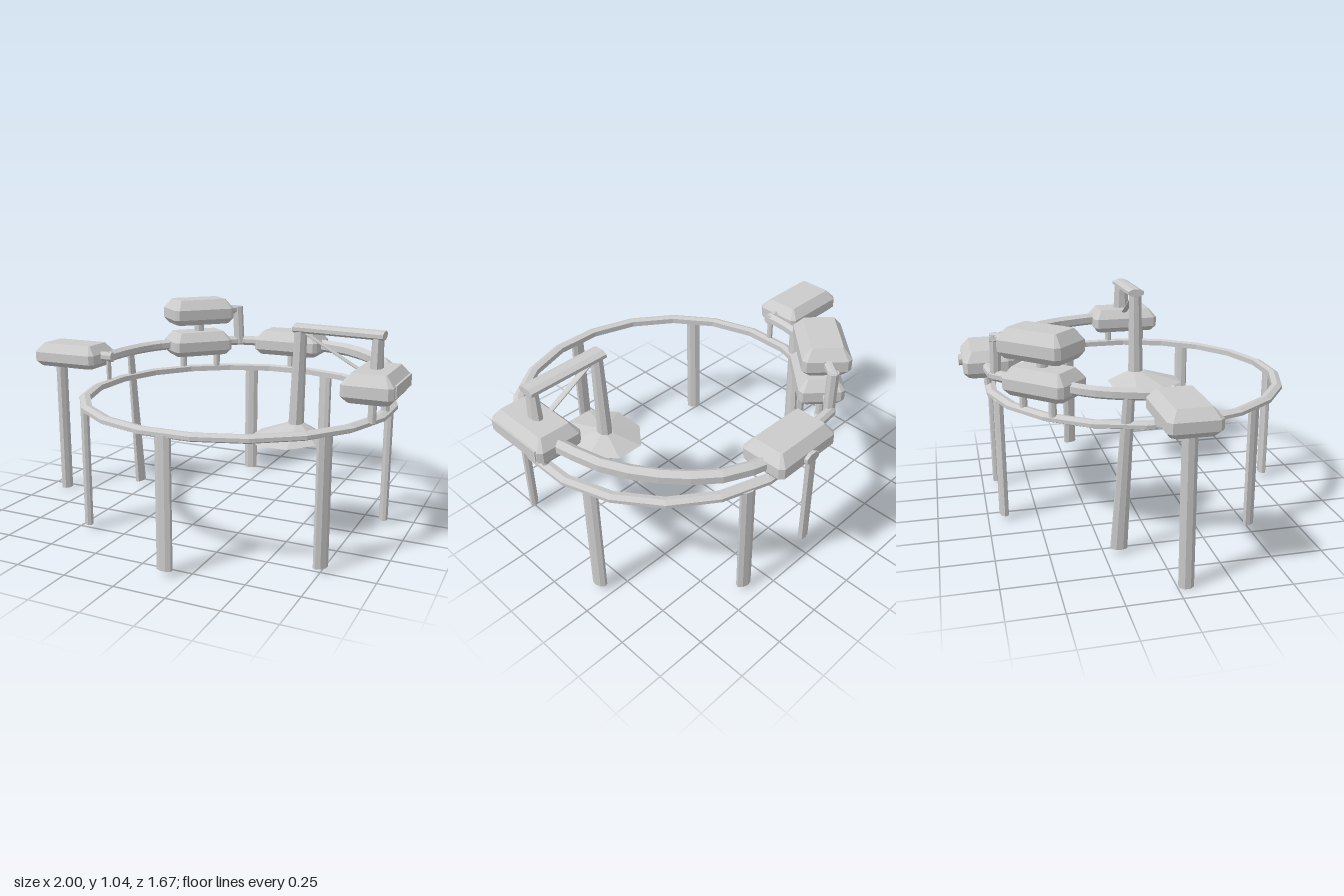
import * as THREE from 'three';

const mat = new THREE.MeshStandardMaterial({ color: 0xcccccc, flatShading: true, side: THREE.DoubleSide });
const V = (x, y, z) => new THREE.Vector3(x, y, z);
const CX = 0.155, CZ = 0.055; // ring centre

function add(parent, name, geo) {
  const m = new THREE.Mesh(geo, mat);
  m.name = name;
  parent.add(m);
  return m;
}

// Chamfered straight bar from a to b; w is measured along wDir, d across it
function bar(parent, name, a, b, w, d, wDir = V(1, 0, 0), taper = 1) {
  const dir = b.clone().sub(a), len = dir.length();
  dir.normalize();
  const side = wDir.clone().addScaledVector(dir, -wDir.dot(dir)).normalize();
  const depth = side.clone().cross(dir);
  const r = 0.5 / Math.cos(Math.PI / 8);
  const geo = new THREE.CylinderGeometry(r * taper, r, len, 8);
  geo.rotateY(Math.PI / 8).scale(w, 1, d);
  geo.applyMatrix4(new THREE.Matrix4().makeBasis(side, dir, depth));
  geo.translate((a.x + b.x) / 2, (a.y + b.y) / 2, (a.z + b.z) / 2);
  return add(parent, name, geo);
}

// Box with bevelled top and bottom, lofted through corner-cut rectangles
function podGeometry(w, d, h) {
  const levels = [[0, 0.022], [0.22, 0], [0.62, 0], [1, 0.04]];
  const pos = [], idx = [], n = 8;
  for (const [t, inset] of levels) {
    const x = w / 2 - inset, z = d / 2 - inset, c = inset > 0.03 ? 0.006 : 0.02;
    const loop = [[x - c, z], [x, z - c], [x, c - z], [x - c, -z], [c - x, -z], [-x, c - z], [-x, z - c], [c - x, z]];
    loop.forEach(([px, pz]) => pos.push(px, t * h, pz));
  }
  for (let l = 0; l < levels.length - 1; l++) {
    for (let i = 0; i < n; i++) {
      const a = l * n + i, b = l * n + (i + 1) % n;
      idx.push(a, b, b + n, a, b + n, a + n);
    }
  }
  const top = (levels.length - 1) * n;
  for (let i = 1; i < n - 1; i++) {
    idx.push(0, i + 1, i, top, top + i, top + i + 1);
  }
  const geo = new THREE.BufferGeometry();
  geo.setAttribute('position', new THREE.Float32BufferAttribute(pos, 3));
  geo.setIndex(idx);
  geo.computeVertexNormals();
  return geo;
}

function pod(parent, name, x, y, z, w, d, turn = 0, h = 0.13) {
  const m = add(parent, name, podGeometry(w, d, h));
  m.position.set(x, y, z);
  m.rotation.y = turn;
}

// Six-sided bent pipe through points
function pipe(parent, name, pts, r) {
  const curve = new THREE.CatmullRomCurve3(pts.map(p => V(...p)));
  add(parent, name, new THREE.TubeGeometry(curve, 8, r, 6));
}

export function createModel() {
  const g = new THREE.Group();

  // Main ring, 20 straight sides
  const profile = [[0.755, 0.617], [0.78, 0.628], [0.78, 0.645], [0.755, 0.656], [0.728, 0.65], [0.728, 0.622], [0.755, 0.617]];
  add(g, 'ring', new THREE.LatheGeometry(profile.map(p => new THREE.Vector2(...p)), 20, Math.PI / 20))
    .position.set(CX, 0, CZ);

  // Ring legs, wide side along the ring
  const legs = [[0.145, 0.81], [-0.45, 0.5], [0.75, 0.5], [0.86, -0.18], [-0.07, -0.67], [0.38, -0.67]];
  for (const [x, z] of legs) {
    bar(g, 'ringLeg', V(x, 0.025, z), V(x, 0.635, z), 0.07, 0.04, V(z - CZ, 0, CX - x).normalize());
  }
  // Leaning leg that reaches up to the pipe
  bar(g, 'leaningLeg', V(-0.55, 0.025, -0.18), V(-0.57, 0.78, -0.135), 0.078, 0.045, V(0, 0, 1), 0.65);

  // Side tank on its own post
  pod(g, 'sideTank', -0.815, 0.715, 0.04, 0.37, 0.24, 0, 0.12);
  bar(g, 'sidePost', V(-0.905, 0, 0.04), V(-0.905, 0.73, 0.04), 0.055, 0.065);
  bar(g, 'sideDrain', V(-0.76, 0.7, -0.02), V(-0.76, 0.73, -0.02), 0.09, 0.09);

  // Stacked tanks
  const turn = 0.82;
  pod(g, 'lowerTank', -0.325, 0.73, -0.475, 0.34, 0.22, turn);
  pod(g, 'upperTank', -0.325, 0.905, -0.485, 0.35, 0.23, turn, 0.137);
  bar(g, 'tankSpacer', V(-0.32, 0.84, -0.48), V(-0.32, 0.92, -0.48), 0.05, 0.05);

  // Back tank with an outlet knob
  pod(g, 'backTank', 0.16, 0.73, -0.705, 0.37, 0.235);
  bar(g, 'outletKnob', V(0.16, 0.785, -0.8), V(0.16, 0.785, -0.84), 0.08, 0.05);

  // Shower tank with a side panel
  pod(g, 'showerTank', 0.873, 0.73, 0.16, 0.235, 0.375);
  add(g, 'sidePanel', new THREE.BoxGeometry(0.02, 0.055, 0.3)).position.set(0.985, 0.79, 0.15);

  // Short stubs holding the tanks above the ring
  for (const [x, z] of [[0.89, 0.28], [0.9, 0.08], [0.16, -0.7], [-0.25, -0.565], [-0.405, -0.45]]) {
    bar(g, 'tankStub', V(x, 0.64, z), V(x, 0.75, z), 0.035, 0.035);
  }

  // Pipes joining the tanks
  pipe(g, 'leftPipe', [[-0.595, 0.775, 0.06], [-0.58, 0.78, -0.08], [-0.52, 0.785, -0.27], [-0.4, 0.79, -0.43]], 0.029);
  bar(g, 'leftJoint', V(-0.65, 0.775, 0.05), V(-0.57, 0.775, 0.05), 0.05, 0.045, V(0, 1, 0));
  bar(g, 'jointPost', V(-0.595, 0.635, 0.05), V(-0.595, 0.775, 0.05), 0.022, 0.03);
  pipe(g, 'rightPipe', [[0.27, 0.785, -0.73], [0.49, 0.785, -0.655], [0.68, 0.785, -0.48], [0.82, 0.79, -0.25], [0.885, 0.795, 0.02]], 0.034);
  bar(g, 'backPipe', V(-0.25, 0.785, -0.6), V(-0.14, 0.785, -0.7), 0.05, 0.05, V(0, 1, 0));
  bar(g, 'backPipe', V(-0.16, 0.785, -0.69), V(0.02, 0.785, -0.71), 0.05, 0.05, V(0, 1, 0));
  bar(g, 'downPipe', V(-0.155, 0.77, -0.68), V(-0.165, 0.985, -0.675), 0.055, 0.05);
  bar(g, 'downPipeElbow', V(-0.16, 0.965, -0.69), V(-0.23, 0.975, -0.59), 0.045, 0.045, V(0, 1, 0));

  // Shower arm: riser, beam, drop and thin brace
  bar(g, 'showerRiser', V(0.87, 0.84, 0.155), V(0.87, 1.015, 0.155), 0.055, 0.09, V(1, 0, 0), 0.8);
  bar(g, 'showerBeam', V(0.485, 1.015, 0.155), V(0.9, 1.005, 0.155), 0.04, 0.09, V(0, 1, 0));
  bar(g, 'showerDrop', V(0.5, 0.54, 0.155), V(0.512, 1.02, 0.155), 0.065, 0.08, V(1, 0, 0), 0.8);
  bar(g, 'showerBrace', V(0.53, 0.995, 0.155), V(0.81, 0.835, 0.155), 0.012, 0.03, V(0, 1, 0));

  // Shower head: shallow eight-sided cone, apex off centre
  const head = new THREE.CylinderGeometry(0.045, 0.2, 0.06, 8);
  head.rotateY(Math.PI / 8).scale(0.89, 1, 1.08);
  const p = head.attributes.position;
  for (let i = 0; i < p.count; i++) {
    if (p.getY(i) > 0) p.setXYZ(i, p.getX(i) + 0.025, p.getY(i), p.getZ(i) - 0.04);
  }
  add(g, 'showerHead', head).position.set(0.475, 0.535, 0.2);

  return g;
}
